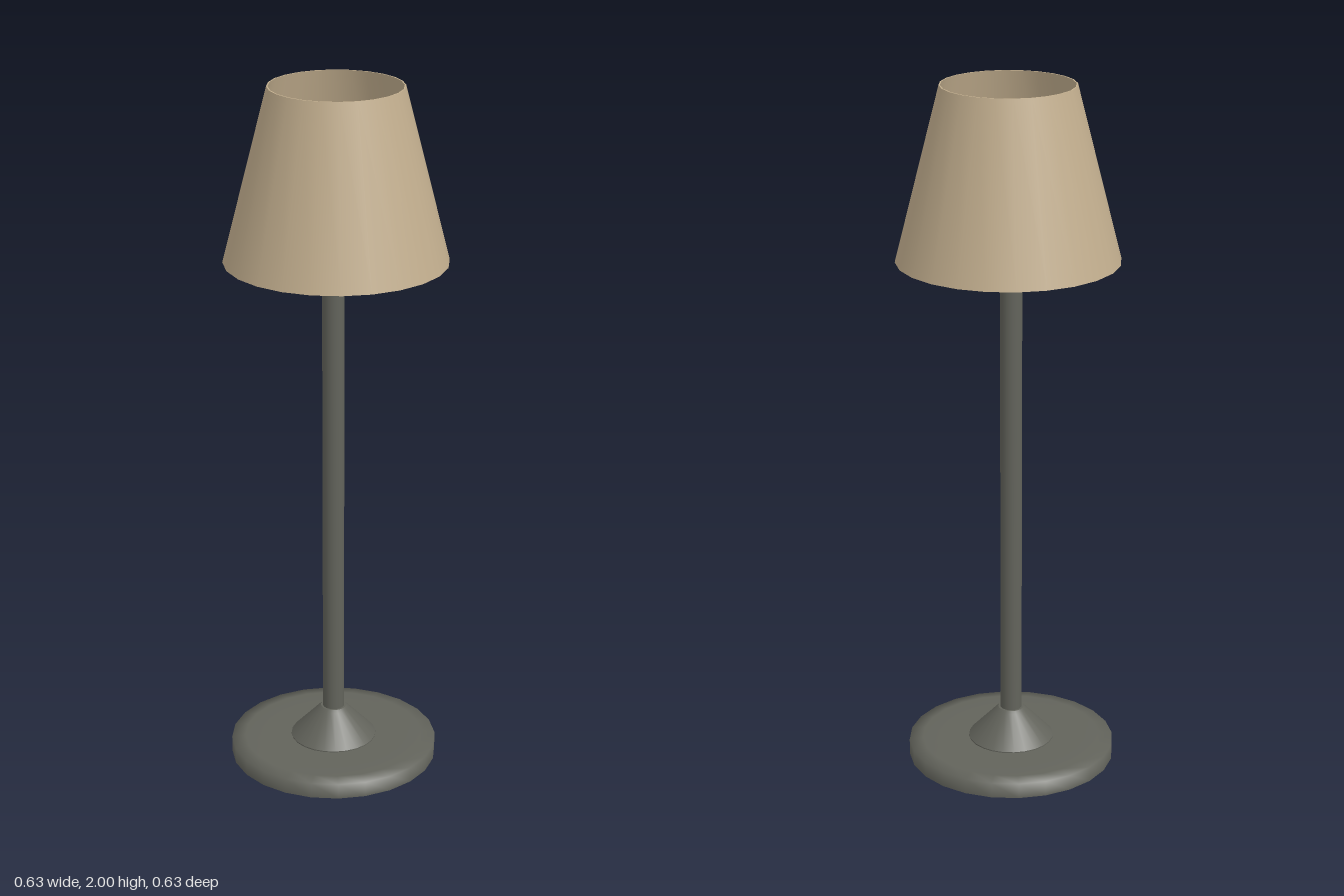
import * as THREE from 'three';

const SEG = 24;
const CZ = 0.012; // the stand sits slightly in front of the shade axis

export function createModel() {
  const model = new THREE.Group();
  model.name = 'floorLamp';

  const metal = new THREE.MeshStandardMaterial({ color: 0x62635b });
  metal.name = 'dark grey metal';
  const fabric = new THREE.MeshStandardMaterial({ color: 0xc2ae8e });
  fabric.name = 'tan fabric';

  const add = (name, geometry, material, x, y, z) => {
    const mesh = new THREE.Mesh(geometry, material);
    mesh.name = name;
    mesh.position.set(x, y, z);
    model.add(mesh);
    return mesh;
  };
  // Repeated points in a profile keep that edge sharp
  const lathe = (points) =>
    new THREE.LatheGeometry(points.map(([r, y]) => new THREE.Vector2(r, y)), SEG);

  // Weighted foot with a softly rounded top edge
  add('base', lathe([
    [0, 0], [0.3, 0], [0.3, 0], [0.3, 0.045], [0.26, 0.05], [0.2, 0.052], [0, 0.052],
  ]), metal, 0, 0, CZ);

  // Conical collar where the pole meets the foot
  add('baseCollar', lathe([
    [0.124, 0.05], [0.124, 0.055], [0.124, 0.055], [0.045, 0.138], [0.037, 0.145], [0.037, 0.145], [0, 0.145],
  ]), metal, 0, 0, CZ);

  // Pole runs up through the hub into the shade
  const poleBottom = 0.1, poleTop = 1.72;
  add('pole', new THREE.CylinderGeometry(0.031, 0.031, poleTop - poleBottom, SEG),
    metal, 0, (poleBottom + poleTop) / 2, CZ);

  // Hub and crossed arms that carry the shade
  add('hub', new THREE.CylinderGeometry(0.053, 0.053, 0.065, SEG), metal, 0, 1.5275, CZ);
  add('crossArmSide', new THREE.BoxGeometry(0.59, 0.033, 0.03), metal, 0, 1.537, 0.011);
  add('crossArmFront', new THREE.BoxGeometry(0.03, 0.033, 0.59), metal, 0.003, 1.537, 0);

  // Thin-walled open shade: outer wall, top rim, inner wall, bottom rim
  add('shade', lathe([
    [0.313, 1.51], [0.188, 2], [0.188, 2], [0.184, 2], [0.184, 2],
    [0.309, 1.51], [0.309, 1.51], [0.313, 1.51],
  ]), fabric, 0, 0, 0);

  return model;
}
